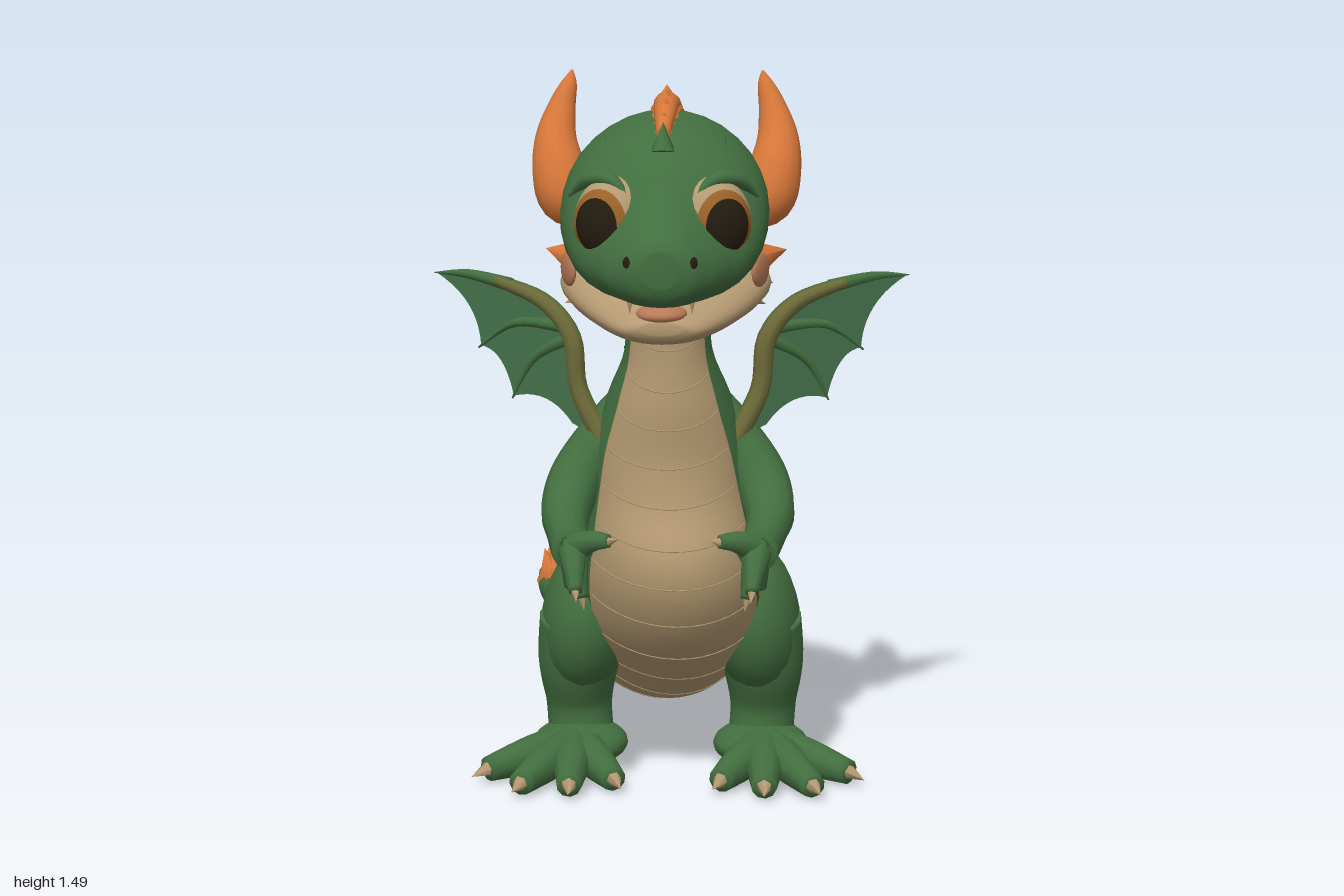
import * as THREE from 'three';
import { mergeGeometries } from 'three/addons/utils/BufferGeometryUtils.js';

const V = (x, y, z) => new THREE.Vector3(x, y, z);
const mat = (name, color, side = THREE.FrontSide) => {
  const m = new THREE.MeshStandardMaterial({ color, side });
  m.name = name;
  return m;
};

// Catmull-Rom through rows of numbers; t counts rows
function at(rows, t) {
  const i = Math.min(Math.floor(t), rows.length - 2), f = t - i;
  const row = k => rows[Math.max(0, Math.min(rows.length - 1, k))];
  return rows[0].map((_, c) => {
    const [a, b, d, e] = [row(i - 1)[c], row(i)[c], row(i + 1)[c], row(i + 2)[c]];
    return b + 0.5 * f * (d - a + f * (2 * a - 5 * b + 4 * d - e + f * (3 * (b - d) + e - a)));
  });
}
const sample = (rows, sub) =>
  Array.from({ length: (rows.length - 1) * sub + 1 }, (_, i) => at(rows, i / sub));

// Closed skin over equal rings; the first `split` columns form group 0, the rest group 1
function skin(rings, split = 0) {
  const n = rings[0].length;
  const middle = r => r.reduce((s, p) => s.add(p), V(0, 0, 0)).divideScalar(n);
  const close = r => { const c = middle(r); return r.map(() => c); };
  rings = [close(rings[0]), ...rings, close(rings[rings.length - 1])];
  const pts = rings.flat(), index = [];
  let volume = 0, first = 0;
  for (let j = 0; j < n; j++) {
    if (j === split) first = index.length;
    for (let i = 0; i < rings.length - 1; i++) {
      const a = i * n + j, b = i * n + (j + 1) % n, c = b + n, d = a + n;
      for (const t of [[a, b, c], [a, c, d]]) {
        volume += pts[t[0]].dot(pts[t[1]].clone().cross(pts[t[2]]));
        index.push(...t);
      }
    }
  }
  if (volume < 0) for (let i = 0; i < index.length; i += 3) [index[i], index[i + 1]] = [index[i + 1], index[i]];
  const g = new THREE.BufferGeometry().setFromPoints(pts);
  g.setIndex(index);
  if (split) { g.addGroup(0, first, 0); g.addGroup(first, index.length - first, 1); }
  g.computeVertexNormals();
  return g;
}

// Tapered round limb through [x, y, z, radius] rows
function limb(rows, sides = 12, sub = 5) {
  const s = sample(rows, sub), p = s.map(r => V(r[0], r[1], r[2]));
  let n = V(0.31, 0.53, 0.79);
  return skin(s.map((r, i) => {
    const t = p[Math.min(i + 1, p.length - 1)].clone().sub(p[Math.max(i - 1, 0)]).normalize();
    n = n.clone().addScaledVector(t, -n.dot(t)).normalize();
    const b = t.clone().cross(n), rad = Math.max(r[3], 0.001);
    return Array.from({ length: sides }, (_, j) => {
      const a = j / sides * Math.PI * 2;
      return p[i].clone().addScaledVector(n, rad * Math.cos(a)).addScaledVector(b, rad * Math.sin(a));
    });
  }));
}

export function createModel() {
  const root = new THREE.Group();
  root.name = 'dragon';
  const green = mat('green scales', 0x436f40), tan = mat('tan belly', 0xb59a72);
  const orange = mat('orange horn', 0xd8783a), olive = mat('olive wing edge', 0x6c6a38);
  const wingGreen = mat('wing membrane', 0x44704a, THREE.DoubleSide);
  const dark = mat('dark pupil', 0x241c10), spot = mat('dark spots', 0x2a472a);
  const iris = mat('amber iris', 0x9a6228), blush = mat('pink mouth', 0xb87a58);
  const brown = mat('brown spike', 0x98562c);

  const add = (name, geo, m) => {
    const o = new THREE.Mesh(geo, m);
    o.name = name;
    root.add(o);
    return o;
  };
  const ball = (name, m, pos, size) => {
    const o = add(name, new THREE.SphereGeometry(1, 24, 16), m);
    o.position.set(...pos);
    o.scale.set(...size);
    return o;
  };
  const UP = V(0, 1, 0);
  const spike = (name, m, pos, dir, r, h, sides = 6) => {
    const o = add(name, new THREE.ConeGeometry(r, h, sides).translate(0, h / 2 - 0.012, 0), m);
    o.position.copy(pos);
    o.quaternion.setFromUnitVectors(UP, dir.clone().normalize());
    return o;
  };

  // Neck, torso and tail: belly z, y; back z, y; half width; centre x; belly half angle; sideways lean of the back
  const body = [
    [.60, 1.15, .43, 1.16, .09, 0, .9, 0], [.605, 1.02, .43, 1.04, .088, 0, 1, 0],
    [.605, .9, .41, .93, .09, 0, 1.05, 0], [.61, .8, .35, .84, .125, 0, .95, 0],
    [.605, .7, .31, .74, .155, 0, .97, 0], [.62, .6, .24, .65, .17, 0, 1.02, .005],
    [.66, .5, .16, .54, .185, 0, 1.07, .015], [.645, .4, .1, .45, .2, 0, 1.05, .02],
    [.57, .29, .04, .385, .2, -.005, .95, .025], [.44, .2, -.03, .345, .187, -.02, .95, .035],
    [.28, .12, -.11, .3, .165, -.045, 1, .045], [.08, .07, -.22, .255, .138, -.085, 1.1, .05],
    [-.15, .05, -.36, .215, .112, -.135, 1.1, .06], [-.4, .037, -.52, .175, .092, -.2, 1, .05],
    [-.62, .035, -.68, .145, .07, -.26, .9, .035], [-.78, .055, -.8, .125, .045, -.31, .7, .015],
    [-.88, .09, -.88, .13, .022, -.34, .4, 0]];
  const centre = r => V(r[5], (r[1] + r[3]) / 2, (r[0] + r[2]) / 2);
  const onBody = (r, a, k = 1) => centre(r).add(V(Math.sin(a) * r[4] + Math.cos(a) * r[7],
    Math.cos(a) * (r[1] - r[3]) / 2, Math.cos(a) * (r[0] - r[2]) / 2).multiplyScalar(k));
  const rings = sample(body, 4).map(r => Array.from({ length: 32 }, (_, j) =>
    onBody(r, j < 14 ? r[6] * (j / 7 - 1) : r[6] + (Math.PI - r[6]) * 2 * (j - 14) / 18)));
  add('body', skin(rings, 14), [tan, green]);

  // Low ridges between the belly plates
  for (let t = 1.5; t < 13; t += 0.8) {
    const pts = [];
    for (let j = -6; j <= 6; j++) {
      const r = at(body, t + .25 * (1 - (j / 6) ** 2));
      pts.push(onBody(r, r[6] * .95 * j / 6));
    }
    add('bellyRidge', new THREE.TubeGeometry(new THREE.CatmullRomCurve3(pts), 16, .0015, 5), tan);
  }

  // Speckles on the back
  let seed = 7;
  const rnd = () => (seed = seed * 16807 % 2147483647) / 2147483647;
  const dots = Array.from({ length: 240 }, () => {
    const r = at(body, 1 + rnd() * 12), a = Math.PI + (rnd() - .5) * 3.4;
    const o = new THREE.Object3D();
    o.position.copy(onBody(r, a, 1.012));
    o.lookAt(onBody(r, a, 2));
    o.updateMatrix();
    return new THREE.CircleGeometry(.003 + rnd() * .004, 6).applyMatrix4(o.matrix);
  });
  add('speckles', mergeGeometries(dots), spot);

  // Spikes down the back: row, height, side angle (0 for a single spike), material
  const spikes = [[.3, .06, .5], [1, .06, 0], [1.7, .05, .5], [2.6, .05, 0, brown], [3.4, .065, 0],
    [4.2, .085, .3], [4.6, .06, 0, brown], [5.1, .095, .4], [6, .085, .52], [6.1, .095, 0, brown], [6.9, .08, 0],
    [7.6, .08, .42], [8.5, .095, .32], [8.8, .08, 0], [9.8, .07, 0], [11.1, .07, 0], [12, .065, 0],
    [12.9, .075, 0], [13.5, .06, 0], [14.1, .06, 0], [14.6, .06, 0], [15.1, .065, 0]];
  for (const [t, h, side, m = orange] of spikes) {
    const r = at(body, t);
    for (const s of side ? [-1, 1] : [0]) {
      const p = onBody(r, Math.PI + s * side);
      const d = p.clone().sub(centre(r)).normalize().add(V(0, .35, -.15));
      spike('backSpike', m, p, d, h * .54, h + .012, 5);
    }
  }
  // Fan of spikes at the tail tip
  for (const [x, y, h] of [[0, 0, .18], [.16, .1, .17], [-.14, .12, .17], [.1, .45, .15], [-.08, -.12, .16], [-.1, .9, .1]])
    spike('tailTipSpike', orange, V(-.33, .11, -.82), V(x, y, -1), .032, h + .012, 7);

  // Skull: z, top, bottom, half width, narrowing towards the top
  const shell = rows => skin(sample(rows, 4).map(([z, top, bot, w, k]) =>
    Array.from({ length: 32 }, (_, j) => {
      const a = j / 16 * Math.PI, s = Math.sin(a);
      return V(w * Math.cos(a) * (1 - k * s), (top + bot) / 2 + s * (top - bot) / 2, z);
    })));
  add('head', shell([[1, 1.19, 1.12, .035, 0], [.985, 1.215, 1.09, .07, .1], [.95, 1.245, 1.075, .098, .3],
    [.9, 1.29, 1.07, .128, .35], [.85, 1.345, 1.065, .168, .3], [.78, 1.395, 1.06, .2, .12],
    [.68, 1.415, 1.05, .205, 0], [.58, 1.415, 1.04, .19, 0], [.5, 1.38, 1.04, .145, 0],
    [.44, 1.3, 1.06, .1, 0], [.41, 1.22, 1.12, .05, 0]]), green);
  add('lowerJaw', shell([[.945, 1.045, 1.02, .04, 0], [.925, 1.055, 1, .08, 0], [.85, 1.08, .99, .125, 0],
    [.75, 1.13, .995, .185, 0], [.66, 1.155, 1.01, .21, 0], [.59, 1.14, 1.03, .17, 0],
    [.52, 1.11, 1.06, .1, 0]]), tan);
  ball('tongue', blush, [0, 1.055, .9], [.05, .02, .05]);

  // Crest over the skull: z, y, size
  const crest = [[.79, 1.40, .018], [.69, 1.425, .028], [.59, 1.43, .034], [.5, 1.395, .042], [.435, 1.32, .046], [.415, 1.22, .036]];
  add('crestRidge', limb(crest.map(([z, y, s]) => [0, y - .005, z, s * .8])), orange);
  for (let i = 0; i <= 10; i++) {
    const [z, y, s] = at(crest, i / 2);
    spike('crestScale', orange, V(0, y, z), V(0, y - 1.2, z - .62), s, s * 1.4, 7);
  }
  spike('browRidge', green, V(0, 1.37, .82), V(0, 1, -.3), .025, .06, 8);

  // Everything that comes in pairs
  for (const s of [1, -1]) {
    const P = (x, y, z) => V(s * x, y, z);
    const tube = (name, m, rows, sides) => add(name, limb(rows.map(([x, y, z, r]) => [s * x, y, z, r]), sides), m);

    // Eye with nested caps
    const eye = new THREE.Group();
    eye.name = 'eye';
    eye.position.copy(P(.092, 1.225, .833));
    eye.rotation.y = s * .66;
    eye.scale.set(1, 1.15, 1);
    for (const [name, m, r, cap] of [['eyeWhite', tan, .08, Math.PI], ['iris', iris, .0815, .84], ['pupil', dark, .083, .6]]) {
      const o = new THREE.Mesh(new THREE.SphereGeometry(r, 28, 20, 0, Math.PI * 2, 0, cap).rotateX(Math.PI / 2), m);
      o.name = name;
      o.rotation.y = name === 'eyeWhite' ? 0 : -s * .14;
      eye.add(o);
    }
    root.add(eye);
    tube('brow', green, [[.07, 1.285, .882, .005], [.1, 1.31, .86, .014], [.145, 1.306, .825, .014], [.182, 1.268, .785, .005]]);
    ball('nostril', dark, [s * .06, 1.165, .977], [.012, .016, .014]);
    ball('cheekBlush', blush, [s * .189, 1.118, .745], [.01, .034, .042]).rotation.y = s * -.35;
    spike('fang', tan, P(.06, 1.088, .935), V(0, -1, 0), .01, .04);

    // Horns and small head spikes
    tube('horn', orange, [[.155, 1.225, .625, .042], [.198, 1.245, .628, .057], [.215, 1.3, .617, .054], [.221, 1.36, .595, .042],
      [.21, 1.42, .576, .028], [.196, 1.465, .568, .016], [.19, 1.492, .566, .002]], 14);
    spike('cheekSpike', orange, P(.195, 1.13, .64), P(1, .25, -.2), .036, .06);
    spike('cheekSpike', orange, P(.18, 1.075, .635), P(1, -.1, -.6), .032, .05);
    spike('jawSpike', tan, P(.165, 1.055, .7), P(1, -.4, -.2), .02, .05);
    spike('templeSpike', orange, P(.14, 1.24, .5), P(.7, .2, -.6), .034, .05);
    spike('smallHorn', green, P(.11, 1.345, .74), P(.25, 1, -.2), .018, .055);

    // Wing: flat outline swept backwards as it goes outwards
    const sweep = x => .5 - .5 * (x - .11);
    const shape = new THREE.Shape();
    shape.moveTo(.13, .72);
    shape.quadraticCurveTo(.21, .82, .2, .94);
    shape.quadraticCurveTo(.29, 1.05, .49, 1.04);
    shape.quadraticCurveTo(.4, .99, .395, .895);
    shape.quadraticCurveTo(.345, .89, .325, .795);
    shape.quadraticCurveTo(.25, .82, .2, .75);
    const wing = new THREE.ShapeGeometry(shape, 10), wp = wing.attributes.position;
    for (let i = 0; i < wp.count; i++) wp.setXYZ(i, s * wp.getX(i), wp.getY(i), sweep(wp.getX(i)));
    wing.computeVertexNormals();
    add('wingMembrane', wing, wingGreen);
    const bone = (name, m, rows, dz = 0) => tube(name, m, rows.map(([x, y, r]) => [x, y, sweep(x) + dz, r]), 8);
    const arm = [[.12, .7, .022], [.185, .82, .02], [.2, .93, .02], [.26, 1, .017], [.36, 1.035, .011]];
    bone('wingArmBack', green, arm, -.007);
    bone('wingArmFront', olive, arm, .007);
    bone('wingTip', green, [[.33, 1.028, .015], [.42, 1.043, .01], [.495, 1.04, .001]]);
    bone('wingFinger', green, [[.21, .95, .014], [.32, .95, .009], [.4, .89, .002]]);
    bone('wingFinger', green, [[.2, .93, .014], [.28, .88, .009], [.328, .79, .002]]);

    // Arm, fingers and claws
    tube('arm', green, [[.07, .8, .45, .05], [.125, .735, .455, .054], [.185, .65, .485, .057], [.208, .59, .55, .052],
      [.2, .56, .64, .042], [.185, .545, .73, .042]]);
    for (const [x, y, z] of [[.175, .48, .81], [.165, .455, .76], [.19, .465, .7], [.11, .575, .775]]) {
      tube('finger', green, [[.185, .55, .725, .032], [(x + .185) / 2, (y + .565) / 2, (z + .735) / 2, .023], [x, y, z, .014]], 8);
      spike('fingerClaw', tan, P(x, y, z), P(x - .185, y - .55, z - .725), .013, .038);
    }

    // Leg, foot, toes and claws
    ball('thigh', green, [s * .172, .32, .35], [.1, .165, .15]).rotation.z = s * .15;
    tube('shin', green, [[.185, .32, .38, .09], [.195, .22, .36, .085], [.195, .13, .34, .07], [.19, .05, .345, .07]], 16);
    ball('foot', green, [s * .19, .05, .38], [.1, .045, .115]);
    for (const [x, z] of [[.375, .535], [.3, .635], [.2, .645], [.11, .6]]) {
      tube('toe', green, [[.2, .05, .38, .045], [(x + .2) / 2, .045, (z + .4) / 2, .04], [x, .032, z, .026]], 10);
      spike('toeClaw', tan, P(x, .032, z), P(x - .2, -.05, z - .38), .02, .055);
    }
    spike('heelSpur', green, P(.195, .18, .28), P(0, .3, -1), .03, .05, 8);
  }
  return root;
}
